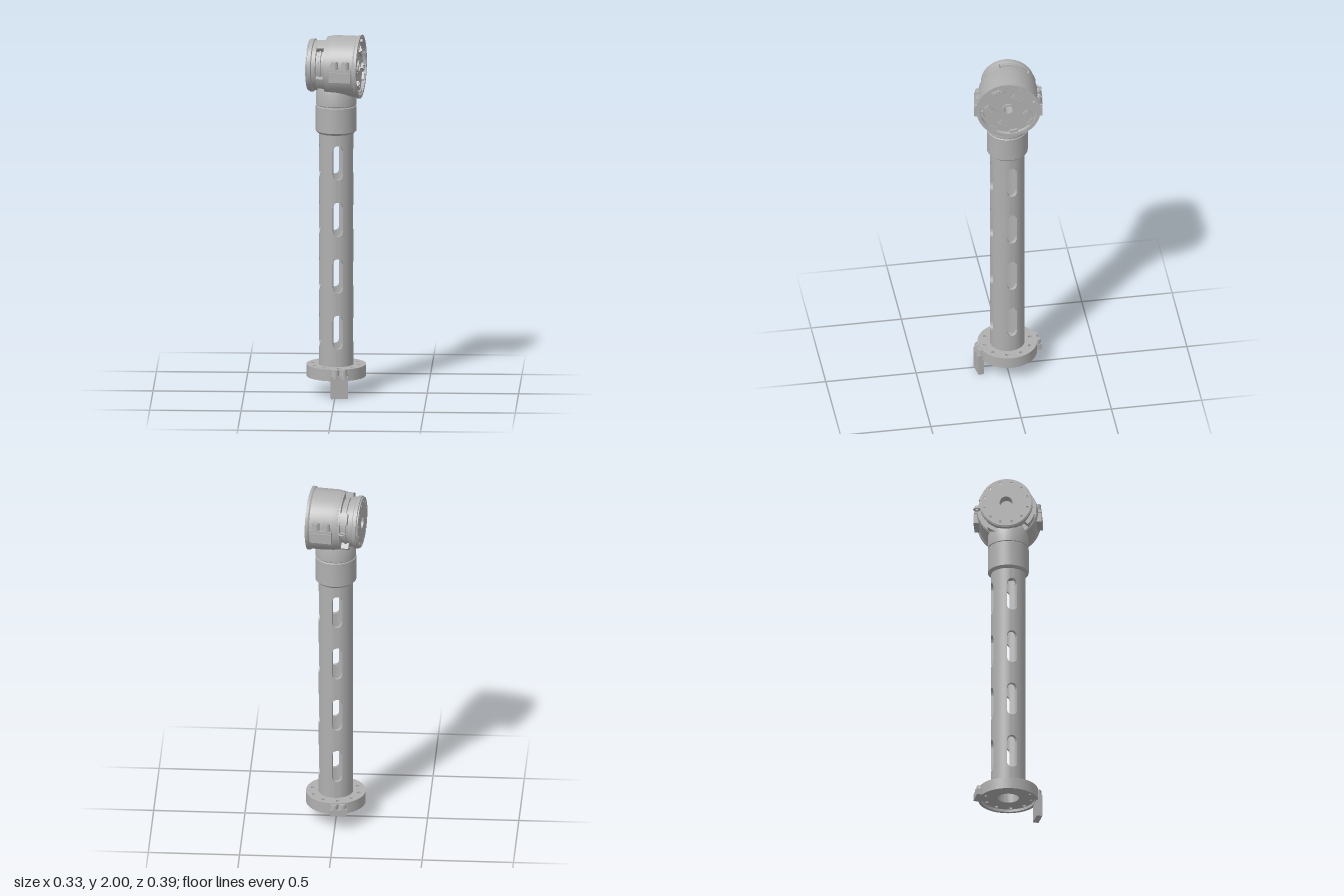
import * as THREE from 'three';
import { mergeGeometries, toCreasedNormals } from 'three/addons/utils/BufferGeometryUtils.js';

const metal = new THREE.MeshStandardMaterial({ color: 0xb0b0b0 });
metal.name = 'grey metal';

function add(parent, name, geometry, x = 0, y = 0, z = 0) {
  const mesh = new THREE.Mesh(geometry, metal);
  mesh.name = name;
  mesh.position.set(x, y, z);
  parent.add(mesh);
  return mesh;
}

const box = (w, h, d) => new THREE.BoxGeometry(w, h, d);

// Turned part from [radius, height] points, bottom to top
function turned(points) {
  const profile = points.map(([r, y]) => new THREE.Vector2(r, y));
  return toCreasedNormals(new THREE.LatheGeometry(profile, 48), 0.5);
}

// Flat disc with a bore and a ring of bolt holes, extruded along +z
function holedDisc(radius, bore, depth, count = 0, ringRadius = 0, holeRadius = 0) {
  const shape = new THREE.Shape().absarc(0, 0, radius, 0, Math.PI * 2);
  const cut = (x, y, r) => shape.holes.push(new THREE.Path().absarc(x, y, r, 0, Math.PI * 2, true));
  cut(0, 0, bore);
  for (let i = 0; i < count; i++) {
    const a = ((i + 0.5) / count) * Math.PI * 2;
    cut(Math.cos(a) * ringRadius, Math.sin(a) * ringRadius, holeRadius);
  }
  const geometry = new THREE.ExtrudeGeometry(shape, { depth, bevelEnabled: false, curveSegments: 48 });
  return toCreasedNormals(geometry, 0.5);
}

// Tube wall with four columns of rounded slots: boxes bent around the axis
function slottedTube() {
  const outer = 0.095, inner = 0.076, bottom = 0.15, top = 1.47;
  const half = 0.029, straight = 0.066, a = half / outer;
  const centres = [0.353, 0.668, 0.984, 1.3];
  const pieces = [];
  const bend = (from, to, segments, low, high) => {
    const g = new THREE.BoxGeometry(1, 1, 1, segments, 1, 1);
    const p = g.attributes.position;
    for (let i = 0; i < p.count; i++) {
      const angle = from + (p.getX(i) + 0.5) * (to - from);
      const y = p.getY(i) < 0 ? low(angle) : high(angle);
      const r = p.getZ(i) > 0 ? outer : inner;
      p.setXYZ(i, Math.sin(angle) * r, y, Math.cos(angle) * r);
    }
    pieces.push(g);
  };
  for (let q = 0; q < 4; q++) {
    const mid = (q * Math.PI) / 2;
    const cap = (t) => straight + Math.sqrt(Math.max(0, half ** 2 - ((t - mid) * outer) ** 2));
    // solid strip between slot columns
    bend(mid + a, mid + Math.PI / 2 - a, 10, () => bottom, () => top);
    // bridges above and below each slot
    for (let k = 0; k <= centres.length; k++) {
      const low = k === 0 ? () => bottom : (t) => centres[k - 1] + cap(t);
      const high = k === centres.length ? () => top : (t) => centres[k] - cap(t);
      bend(mid - a, mid + a, 12, low, high);
    }
  }
  return toCreasedNormals(mergeGeometries(pieces), 0.5);
}

// Pair of round screw lugs standing on a clamp block
function screwLugs(parent, spacing, y, z, height) {
  for (const side of [-1, 1]) {
    const x = side * spacing / 2;
    add(parent, 'screwLug', new THREE.CylinderGeometry(0.019, 0.024, height, 24), x, y + height / 2, z);
    add(parent, 'lugWeb', box(0.04, height * 0.9, 0.03), x, y + height * 0.45, z - 0.017);
    const ring = add(parent, 'screwRim', new THREE.TorusGeometry(0.01, 0.003, 8, 20), x, y + height, z);
    ring.rotation.x = Math.PI / 2;
  }
}

function createLeg() {
  const leg = new THREE.Group();
  leg.name = 'leg';
  add(leg, 'slottedTube', slottedTube());

  // Base flange with a recessed underside
  add(leg, 'baseFlange', holedDisc(0.163, 0.058, 0.05, 10, 0.13, 0.01), 0, 0.11).rotation.x = -Math.PI / 2;
  add(leg, 'flangeRim', holedDisc(0.163, 0.146, 0.016), 0, 0.095).rotation.x = -Math.PI / 2;

  // Clamps on the flange, the front one with a long tab
  const front = new THREE.Group();
  front.name = 'frontFlangeClamp';
  add(front, 'tab', box(0.093, 0.125, 0.032), 0, 0.0625, 0.164);
  screwLugs(front, 0.045, 0.11, 0.16, 0.05);
  const back = new THREE.Group();
  back.name = 'backFlangeClamp';
  back.rotation.y = Math.PI;
  add(back, 'clampBlock', box(0.093, 0.035, 0.045), 0, 0.1125, 0.163);
  screwLugs(back, 0.045, 0.11, 0.162, 0.045);
  leg.add(front, back);

  // Collar and neck that run up into the head
  add(leg, 'collar', turned([
    [0, 1.455], [0.1, 1.455], [0.112, 1.467], [0.112, 1.605], [0.108, 1.608],
    [0.108, 1.612], [0.111, 1.615], [0.11, 1.69], [0.095, 1.73], [0.05, 1.77], [0, 1.77],
  ]));
  return leg;
}

function createHead() {
  const head = new THREE.Group();
  head.name = 'head';
  const alongX = (mesh) => { mesh.rotation.z = -Math.PI / 2; return mesh; };

  // Main drum with a recessed right face
  alongX(add(head, 'drum', turned([
    [0.1, -0.038], [0.162, -0.038], [0.168, -0.005], [0.168, 0.118], [0.174, 0.126], [0.175, 0.14],
    [0.156, 0.14], [0.153, 0.122], [0.034, 0.122], [0.034, 0.131], [0.024, 0.131], [0.024, 0.05], [0, 0.05],
  ])));

  // Output hub and disc on the left
  alongX(add(head, 'outputHub', turned([
    [0, -0.09], [0.035, -0.09], [0.035, -0.141], [0.139, -0.141], [0.145, -0.138], [0.145, -0.119],
    [0.138, -0.115], [0.138, -0.094], [0.125, -0.092], [0.125, -0.078], [0.132, -0.076],
    [0.132, -0.066], [0.125, -0.064], [0.125, -0.03],
  ])));
  add(head, 'outputFace', holedDisc(0.14, 0.035, 0.006, 12, 0.12, 0.007), -0.147).rotation.y = Math.PI / 2;

  // Arms of the housing between its windows
  for (let i = 0; i < 4; i++) {
    const start = THREE.MathUtils.degToRad(107 + i * 90), end = start + 0.44;
    const sector = new THREE.Shape().absarc(0, 0, 0.158, start, end).absarc(0, 0, 0.124, end, start, true);
    const arm = new THREE.ExtrudeGeometry(sector, { depth: 0.054, bevelEnabled: false, curveSegments: 10 });
    add(head, 'housingArm', toCreasedNormals(arm, 0.5), -0.089).rotation.y = Math.PI / 2;
  }
  add(head, 'windowRim', holedDisc(0.16, 0.12, 0.012), -0.048).rotation.y = Math.PI / 2;
  add(head, 'cableEye', new THREE.TorusGeometry(0.015, 0.005, 8, 24), -0.066, 0, -0.165).rotation.x = Math.PI / 2;

  // Clamps at the front and back of the drum
  for (const turn of [0, Math.PI]) {
    const clamp = new THREE.Group();
    clamp.name = 'drumClamp';
    clamp.rotation.y = turn;
    clamp.position.x = 0.05;
    add(clamp, 'clampBlock', box(0.12, 0.055, 0.06), 0, -0.0285, 0.157);
    add(clamp, 'clampPlate', box(0.12, 0.014, 0.055), 0, 0.008, 0.157);
    screwLugs(clamp, 0.06, 0.005, 0.162, 0.05);
    head.add(clamp);
  }

  // Connectors on the right face: [z, y, width, height, turn]
  const sockets = [
    [0.055, 0.115, 0.07, 0.026, 0.45], [-0.05, 0.075, 0.065, 0.035, -0.6], [0.1, 0, 0.06, 0.03, -0.8],
    [0.025, -0.1, 0.06, 0.03, -0.6], [-0.105, -0.025, 0.035, 0.035, 0.8],
  ];
  for (const [z, y, w, h, turn] of sockets) {
    const socket = add(head, 'socket', box(w, h, 0.014), 0.127, y, z);
    socket.rotation.set(0, Math.PI / 2, turn, 'YXZ');
    for (const s of [-1, 0, 1]) {
      add(socket, 'socketPin', box(w * 0.18, h * 0.5, 0.006), s * w * 0.28, 0, 0.009);
    }
  }
  // Tabs around the inside of the rim
  for (let i = 0; i < 8; i++) {
    const a = (i / 8) * Math.PI * 2 + 0.2;
    const tab = add(head, 'rimTab', box(0.014, 0.02, 0.045), 0.128, Math.cos(a) * 0.148, Math.sin(a) * 0.148);
    tab.rotation.x = a;
  }
  return head;
}

export function createModel() {
  const model = new THREE.Group();
  model.name = 'jointedArmSegment';
  const leg = createLeg();
  leg.position.set(0.002, 0, -0.005);
  leg.rotation.y = THREE.MathUtils.degToRad(8);
  const head = createHead();
  head.position.set(0.001, 1.825, -0.009);
  head.rotation.y = THREE.MathUtils.degToRad(-8);
  model.add(leg, head);
  return model;
}
